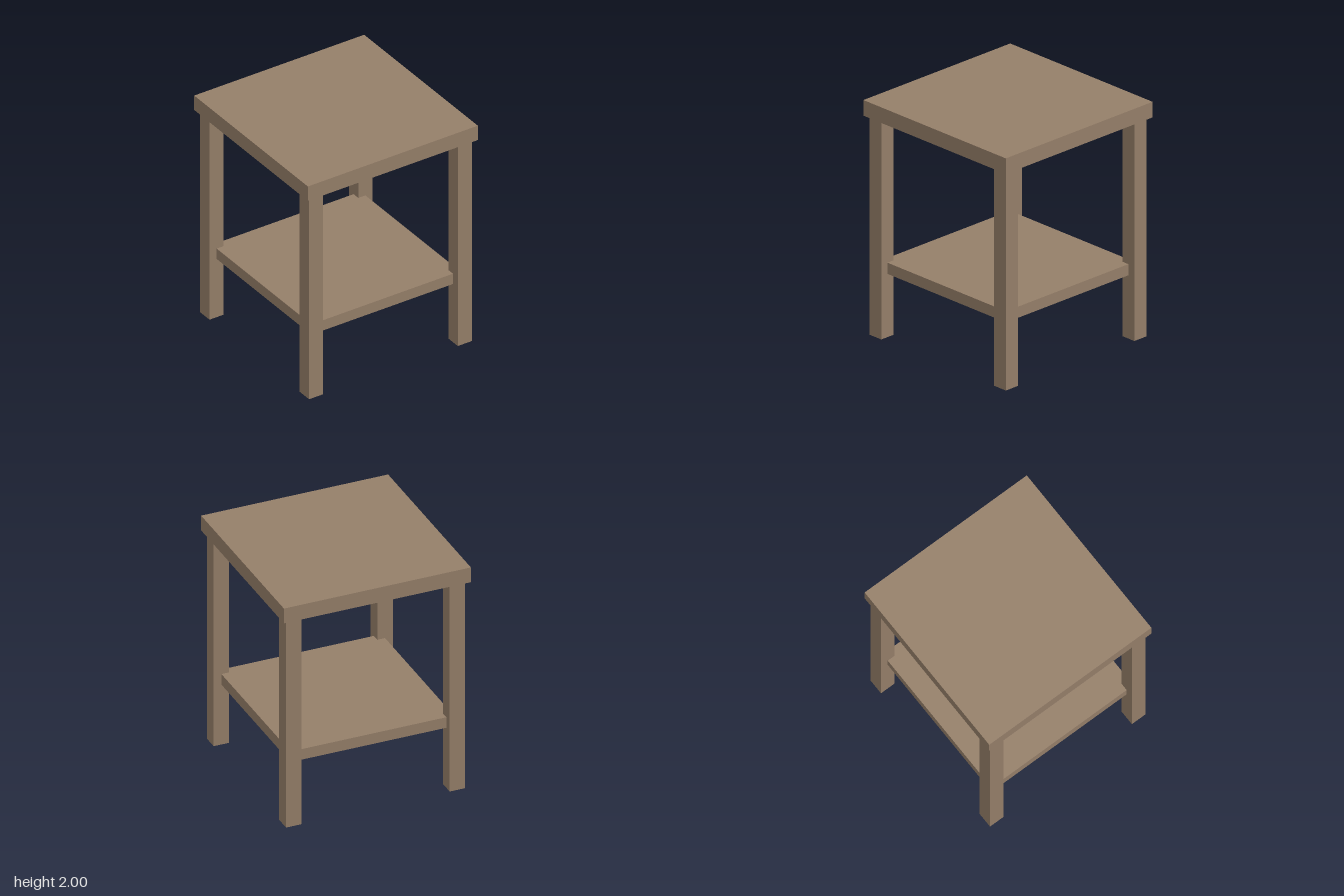
import * as THREE from 'three';

export function createModel() {
  const group = new THREE.Group();
  const wood = new THREE.MeshStandardMaterial({ color: 0x957f69 });
  wood.name = 'wood';

  // Box resting on a given height
  const addBox = (name, width, height, depth, x, bottom, z) => {
    const mesh = new THREE.Mesh(new THREE.BoxGeometry(width, height, depth), wood);
    mesh.name = name;
    mesh.position.set(x, bottom + height / 2, z);
    group.add(mesh);
  };

  // Square top and the lower shelf, whose corners are housed in the legs
  addBox('tableTop', 1.6, 0.133, 1.6, 0, 1.867, 0);
  addBox('shelf', 1.4, 0.095, 1.4, 0, 0.54, 0);

  // Four square legs, set in slightly from the edge of the top
  for (const [zName, z] of [['front', 0.7], ['back', -0.7]]) {
    for (const [xName, x] of [['Left', 0.7], ['Right', -0.7]]) {
      addBox(`${zName}${xName}Leg`, 0.133, 1.867, 0.133, x, 0, z);
    }
  }
  return group;
}
